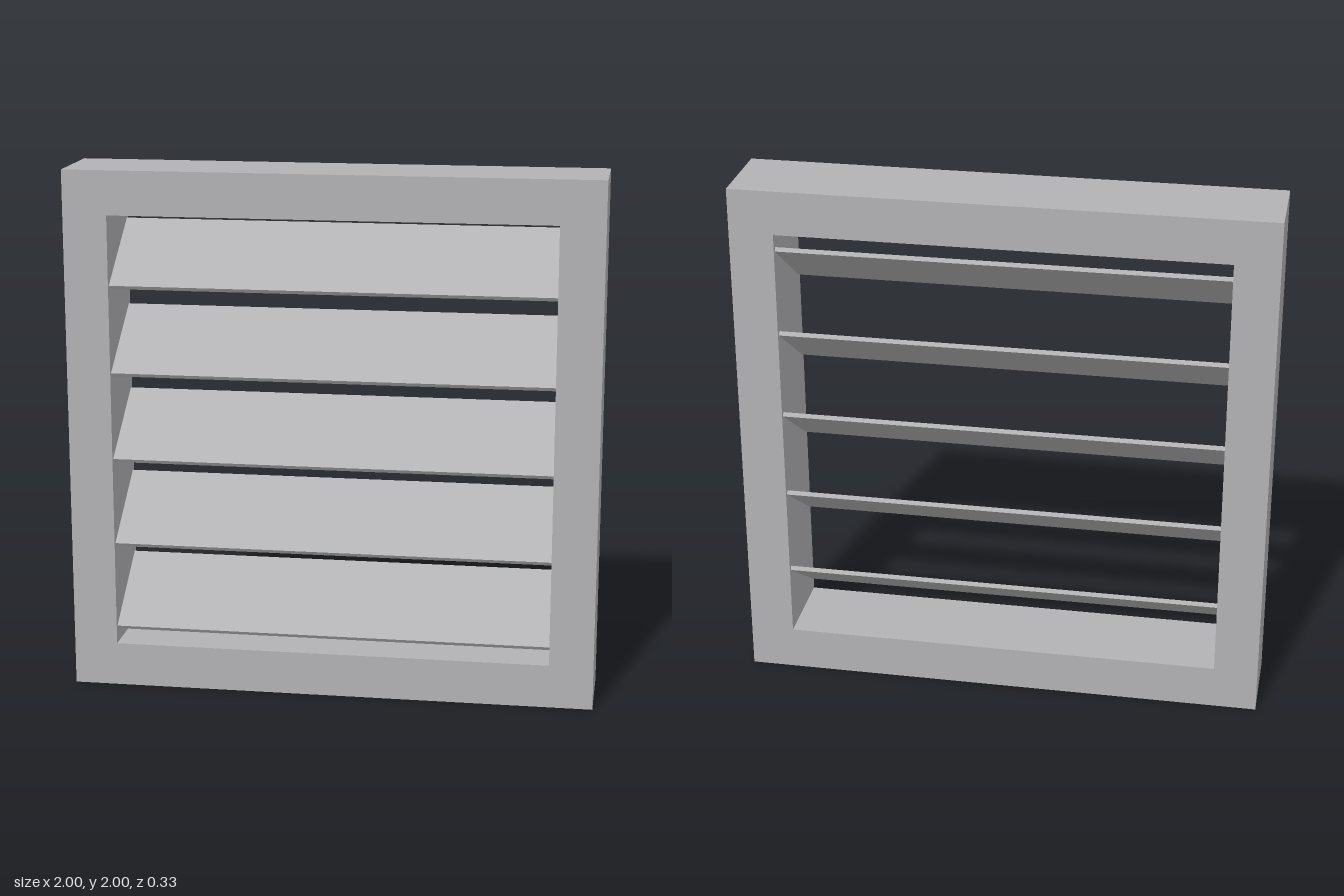
import * as THREE from 'three';

const SIZE = 2, BORDER = 1 / 6, DEPTH = 1 / 3;
const SLATS = 5, TILT = THREE.MathUtils.degToRad(35);

export function createModel() {
  const group = new THREE.Group();
  group.name = 'louverVent';
  const metal = new THREE.MeshStandardMaterial({ color: 0xb2b2b4 });
  metal.name = 'grey metal';

  // Square frame with a square opening
  const h = SIZE / 2, inner = h - BORDER;
  const square = (r, Type) => new Type([
    new THREE.Vector2(-r, -r), new THREE.Vector2(r, -r),
    new THREE.Vector2(r, r), new THREE.Vector2(-r, r),
  ]);
  const outline = square(h, THREE.Shape);
  outline.holes.push(square(inner, THREE.Path));
  const frameGeometry = new THREE.ExtrudeGeometry(outline, { depth: DEPTH, bevelEnabled: false });
  frameGeometry.translate(0, h, -DEPTH / 2);
  const frame = new THREE.Mesh(frameGeometry, metal);
  frame.name = 'frame';
  group.add(frame);

  // Tilted slats, lower edge towards the front
  const slatGeometry = new THREE.BoxGeometry(inner * 2, 1 / 60, 0.367);
  for (let i = 0; i < SLATS; i++) {
    const slat = new THREE.Mesh(slatGeometry, metal);
    slat.name = `slat${i + 1}`;
    slat.position.y = (i + 1) * SIZE / (SLATS + 1);
    slat.rotation.x = TILT;
    group.add(slat);
  }
  return group;
}
